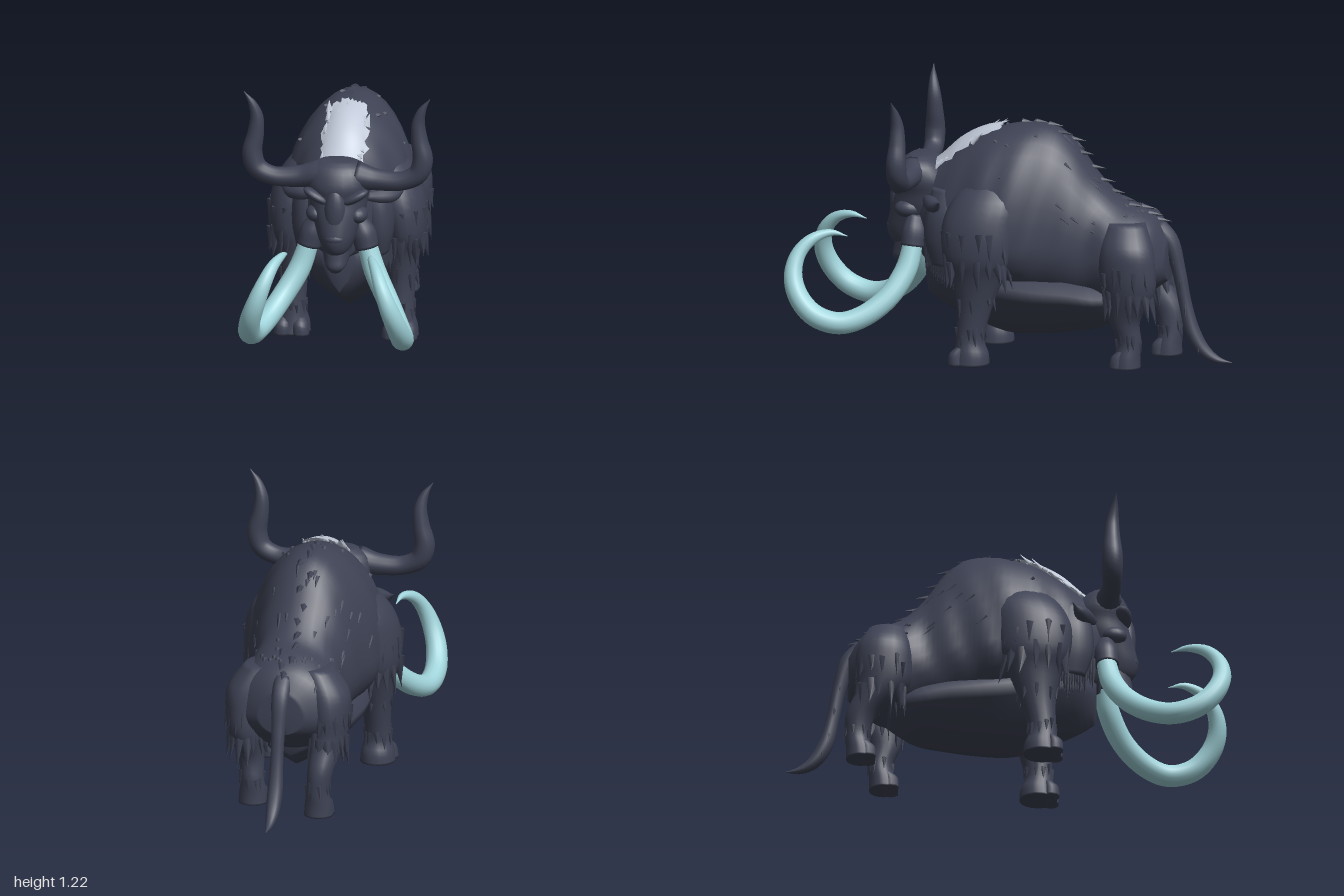
import * as THREE from 'three';
import { mergeGeometries } from 'three/addons/utils/BufferGeometryUtils.js';

const V = (x, y, z) => new THREE.Vector3(x, y, z);

// small seeded random
let seed = 7;
const rnd = () => (seed = (seed * 16807) % 2147483647) / 2147483647;
const jit = (a) => (rnd() - 0.5) * 2 * a;

// closed skin over rings of points, capped at both ends, always facing outwards
function skin(rings) {
  const n = rings[0].length, pts = rings.flat(), idx = [];
  for (let i = 0; i < rings.length - 1; i++) for (let j = 0; j < n; j++) {
    const a = i * n + j, b = i * n + (j + 1) % n;
    idx.push(a, b, a + n, b, b + n, a + n);
  }
  [0, rings.length - 1].forEach((r, k) => {
    const c = pts.length, mid = V(0, 0, 0);
    rings[r].forEach((p) => mid.addScaledVector(p, 1 / n));
    pts.push(mid);
    for (let j = 0; j < n; j++) {
      const a = r * n + j, b = r * n + (j + 1) % n;
      k ? idx.push(a, b, c) : idx.push(b, a, c);
    }
  });
  let vol = 0;
  for (let i = 0; i < idx.length; i += 3)
    vol += pts[idx[i]].dot(V(0, 0, 0).crossVectors(pts[idx[i + 1]], pts[idx[i + 2]]));
  if (vol < 0) idx.reverse();
  const g = new THREE.BufferGeometry().setFromPoints(pts);
  g.setIndex(idx);
  g.computeVertexNormals();
  return g;
}

// smooth lookup in a table of rows, t from 0 to 1
function sample(rows, t) {
  const f = t * (rows.length - 1), i = Math.min(Math.floor(f), rows.length - 2), u = f - i;
  const at = (k) => rows[Math.max(0, Math.min(rows.length - 1, k))];
  return rows[0].map((_, c) => {
    const [a, b, d, e] = [at(i - 1)[c], at(i)[c], at(i + 1)[c], at(i + 2)[c]];
    return b + 0.5 * u * (d - a + u * (2 * a - 5 * b + 4 * d - e + u * (3 * (b - d) + e - a)));
  });
}
const loft = (rows, steps, n, point) => skin(Array.from({ length: steps + 1 }, (_, i) => {
  const r = sample(rows, i / steps);
  return Array.from({ length: n }, (_, j) => point(r, (j / n) * Math.PI * 2));
}));

// upright limb from rows of [y, x, z, half width, half depth]
const limb = (rows, steps = 20, n = 16) => loft(rows, steps, n, ([y, x, z, w, d], a) =>
  V(x + w * Math.cos(a), y, z + d * Math.sin(a)));

// tapered horn or tail from rows of [x, y, z, radius]
function taper(rows, steps = 40, n = 14) {
  const curve = new THREE.CatmullRomCurve3(rows.map((r) => V(r[0], r[1], r[2])));
  const fr = curve.computeFrenetFrames(steps);
  return skin(Array.from({ length: steps + 1 }, (_, i) => {
    const t = curve.getUtoTmapping(i / steps), c = curve.getPoint(t), r = Math.max(0.002, sample(rows, t)[3]);
    return Array.from({ length: n }, (_, j) => {
      const a = (j / n) * Math.PI * 2;
      return c.clone().addScaledVector(fr.normals[i], r * Math.cos(a)).addScaledVector(fr.binormals[i], r * Math.sin(a));
    });
  }));
}

// one pointed clump of hair
function tuft(p, dir, len, r) {
  const g = new THREE.ConeGeometry(r, len, 5);
  g.scale(1, 1, 0.6);
  g.translate(0, len * 0.3, 0);
  g.applyQuaternion(new THREE.Quaternion().setFromUnitVectors(V(0, 1, 0), dir.clone().normalize()));
  return g.translate(p.x, p.y, p.z);
}
const blob = (x, y, z, rx, ry, rz, tilt = 0) =>
  new THREE.SphereGeometry(1, 18, 12).scale(rx, ry, rz).rotateZ(tilt).translate(x, y, z);

// trunk stations: z, half width, top, widest height, bottom
const TRUNK = [
  [0.42, 0.11, 0.84, 0.65, 0.43], [0.32, 0.195, 0.895, 0.62, 0.39], [0.22, 0.25, 0.97, 0.59, 0.36],
  [0.10, 0.30, 1.035, 0.56, 0.33], [-0.05, 0.30, 1.07, 0.55, 0.30], [-0.18, 0.26, 1.06, 0.55, 0.28],
  [-0.28, 0.235, 0.985, 0.53, 0.26], [-0.38, 0.215, 0.85, 0.50, 0.25], [-0.48, 0.235, 0.75, 0.47, 0.25],
  [-0.58, 0.245, 0.71, 0.46, 0.28], [-0.66, 0.20, 0.66, 0.46, 0.34], [-0.715, 0.10, 0.57, 0.46, 0.38]];
const trunkPoint = ([z, w, top, mid, bot], a) => {
  const c = Math.cos(a), fold = 1 + 0.018 * Math.sin(z * 42 + c * 5) * Math.abs(Math.sin(a));
  return V(w * Math.sin(a) * fold, mid + (c > 0 ? top - mid : mid - bot) * c, z);
};
const onTrunk = (t, a) => trunkPoint(sample(TRUNK, t), a);

export function createModel() {
  seed = 7;
  const model = new THREE.Group();
  const hide = new THREE.MeshStandardMaterial({ color: 0x3e4254 });
  const tuskBlue = new THREE.MeshStandardMaterial({ color: 0xa0d3da });
  const paleHair = new THREE.MeshStandardMaterial({ color: 0xc2cad9, side: THREE.DoubleSide });
  const add = (name, geo, mat = hide) => {
    const m = new THREE.Mesh(Array.isArray(geo) ? mergeGeometries(geo) : geo, mat);
    m.name = name;
    model.add(m);
  };

  add('trunk', loft(TRUNK, 55, 36, trunkPoint));

  // keeled belly: z, half width, rim height, keel height
  const BELLY = [[0.40, 0.06, 0.41, 0.27], [0.32, 0.16, 0.41, 0.215], [0.18, 0.23, 0.39, 0.15], [0.03, 0.25, 0.36, 0.10],
    [-0.12, 0.25, 0.34, 0.10], [-0.28, 0.23, 0.33, 0.12], [-0.42, 0.20, 0.31, 0.15], [-0.54, 0.12, 0.32, 0.23]];
  add('belly', skin(Array.from({ length: 25 }, (_, i) => {
    const [z, w, rim, keel] = sample(BELLY, i / 24);
    return [[0, keel], [0.55, keel + (rim - keel) * 0.36], [0.93, keel + (rim - keel) * 0.78], [1, rim], [0.8, rim + 0.06],
      [-0.8, rim + 0.06], [-1, rim], [-0.93, keel + (rim - keel) * 0.78], [-0.55, keel + (rim - keel) * 0.36]]
      .map(([x, y]) => V(x * w, y, z));
  })));

  // skull: y, half width, front z, back z
  const HEAD = [[0.905, 0.08, 0.48, 0.38], [0.87, 0.135, 0.525, 0.33], [0.80, 0.15, 0.555, 0.28], [0.74, 0.135, 0.55, 0.28],
    [0.68, 0.125, 0.565, 0.29], [0.62, 0.105, 0.58, 0.32], [0.56, 0.085, 0.59, 0.35], [0.51, 0.065, 0.575, 0.38], [0.485, 0.045, 0.55, 0.40]];
  add('head', loft(HEAD, 28, 24, ([y, w, f, b], a) => V(w * Math.cos(a), y, (f + b) / 2 + (f - b) / 2 * Math.sin(a))));
  add('lowerJaw', limb([[0.53, 0, 0.47, 0.07, 0.08], [0.47, 0, 0.485, 0.06, 0.075], [0.43, 0, 0.52, 0.045, 0.045], [0.405, 0, 0.53, 0.02, 0.02]]));
  add('noseBridge', [blob(0, 0.68, 0.535, 0.05, 0.12, 0.043), blob(0, 0.57, 0.555, 0.05, 0.03, 0.037)]);

  for (const s of [1, -1]) {
    const side = s > 0 ? 'left' : 'right';
    add(side + 'Brow', [blob(s * 0.085, 0.755, 0.515, 0.07, 0.024, 0.042, s * 0.5), blob(s * 0.095, 0.665, 0.475, 0.045, 0.04, 0.06)]);
    add(side + 'Ear', taper([[s * 0.12, 0.72, 0.38, 0.02], [s * 0.18, 0.715, 0.35, 0.034], [s * 0.235, 0.715, 0.32, 0.03],
      [s * 0.285, 0.74, 0.285, 0.002]], 14, 10));
    add(side + 'Horn', taper([[s * 0.08, 0.84, 0.45, 0.065], [s * 0.17, 0.825, 0.45, 0.05], [s * 0.29, 0.825, 0.46, 0.043],
      [s * 0.365, 0.862, 0.46, 0.046], [s * 0.387, 0.93, 0.46, 0.046], [s * 0.372, 1.02, 0.458, 0.038],
      [s * 0.367, 1.10, 0.46, 0.03], [s * 0.386, 1.165, 0.468, 0.018], [s * 0.422, 1.22, 0.475, 0.002]]));
    add(side + 'TuskSocket', taper([[s * 0.09, 0.63, 0.44, 0.04], [s * 0.115, 0.57, 0.44, 0.056], [s * 0.132, 0.50, 0.445, 0.053]], 12));
    add(side + 'Tusk', taper([[s * 0.13, 0.52, 0.44, 0.045], [s * 0.17, 0.40, 0.465, 0.05], [s * 0.24, 0.28, 0.535, 0.05],
      [s * 0.30, 0.20, 0.64, 0.05], [s * 0.335, 0.175, 0.74, 0.05], [s * 0.345, 0.21, 0.85, 0.05], [s * 0.33, 0.29, 0.925, 0.047],
      [s * 0.30, 0.38, 0.955, 0.042], [s * 0.265, 0.47, 0.938, 0.034], [s * 0.232, 0.535, 0.88, 0.026],
      [s * 0.20, 0.56, 0.80, 0.015], [s * 0.19, 0.545, 0.73, 0.002]], 64, 16), tuskBlue);

    // shoulders run down into the front legs, hips into the hind legs
    const hz = s > 0 ? -0.555 : -0.67;
    const front = [[0.88, s * 0.14, 0.06, 0.04, 0.07], [0.76, s * 0.20, 0.08, 0.10, 0.15], [0.64, s * 0.242, 0.11, 0.108, 0.17],
      [0.50, s * 0.262, 0.115, 0.095, 0.16], [0.40, s * 0.25, 0.115, 0.08, 0.12], [0.26, s * 0.245, 0.13, 0.064, 0.08],
      [0.12, s * 0.245, 0.15, 0.06, 0.064], [0.05, s * 0.245, 0.145, 0.075, 0.078], [0, s * 0.245, 0.148, 0.08, 0.085]];
    const hind = [[0.66, s * 0.13, -0.54, 0.07, 0.09], [0.56, s * 0.18, -0.555, 0.095, 0.12], [0.46, s * 0.195, -0.56, 0.09, 0.13],
      [0.34, s * 0.19, -0.57, 0.08, 0.115], [0.22, s * 0.175, hz + 0.01, 0.06, 0.072], [0.12, s * 0.165, hz - 0.01, 0.052, 0.055],
      [0.05, s * 0.165, hz, 0.062, 0.06], [0, s * 0.165, hz + 0.005, 0.066, 0.066]];
    add(side + 'FrontLeg', limb(front, 30, 20));
    add(side + 'HindLeg', limb(hind, 30, 20));

    // cloven toes
    const toes = [];
    for (const [x, z, k0] of [[0.245, 0.205, 1], [0.165, hz + 0.035, 0.8]]) for (const k of [-k0, k0])
      toes.push(limb([[0.08, s * x + k * 0.038, z - 0.02, 0.02, 0.02], [0.05, s * x + k * 0.04, z, 0.035 * k0, 0.033],
        [0, s * x + k * 0.042, z + 0.002, 0.04 * k0, 0.036]], 8, 10));
    add(side + 'Toes', toes);

    // fringes of hair around shoulder, hip and ankles: limb rows, height, length, size, count
    const fringe = [];
    for (const [rows, y, len, r, count] of [[front, 0.58, 0.10, 0.03, 14], [front, 0.47, 0.13, 0.034, 16], [front, 0.30, 0.07, 0.018, 8],
      [front, 0.14, 0.07, 0.018, 11], [hind, 0.44, 0.09, 0.026, 14], [hind, 0.33, 0.13, 0.03, 14], [hind, 0.13, 0.06, 0.017, 9]]) {
      const k = rows.findIndex((q) => q[0] <= y), u = (y - rows[k][0]) / (rows[k - 1][0] - rows[k][0]);
      const [, x, z, w, d] = rows[k].map((v, c) => v + (rows[k - 1][c] - v) * u);
      for (let j = 0; j < count; j++) {
        const a = (j + jit(0.3)) / count * Math.PI * 2, c = Math.cos(a), q = Math.sin(a);
        fringe.push(tuft(V(x + w * c * 0.92, y + jit(0.02), z + d * q * 0.92), V(c * 0.18, -1, q * 0.15 - 0.08), len * (1 + jit(0.25)), r));
      }
    }
    add(side + 'LegHair', fringe);

    // shaggy neck drape and beard filling the gap between cheek and shoulder
    add(side + 'NeckDrape', limb([[0.78, s * 0.13, 0.27, 0.06, 0.08], [0.66, s * 0.155, 0.27, 0.075, 0.11],
      [0.54, s * 0.165, 0.27, 0.065, 0.11], [0.43, s * 0.165, 0.265, 0.04, 0.08]], 16, 16));
    const beard = [];
    for (let i = 0; i < 18; i++) {
      const t = i / 17;
      beard.push(tuft(V(s * (0.12 + 0.11 * t), 0.51 - 0.06 * Math.sin(t * 3) + jit(0.025), 0.38 - 0.2 * t), V(s * 0.08, -1, 0), 0.14 + jit(0.03), 0.034));
    }
    add(side + 'Beard', beard);

    // small coat tufts lying flat along the flank
    const coat = [];
    for (let i = 0; i < 30; i++) {
      const p = onTrunk(0.25 + 0.65 * rnd(), s * (0.1 + 1.3 * rnd()));
      coat.push(tuft(V(p.x * 0.98, p.y - 0.004, p.z), V(p.x * 0.15, -0.6, -0.7), 0.055 + jit(0.015), 0.013));
    }
    add(side + 'CoatTufts', coat);
  }

  // ridge of hair along the spine
  const ridge = [];
  for (let i = 0; i < 14; i++) ridge.push(tuft(onTrunk(0.36 + 0.043 * i, jit(0.15)), V(jit(0.2), -0.15, -1), 0.07, 0.02));
  add('spineHair', ridge);

  // tail with a hairy root and brush
  const TAIL = [[0, 0.62, -0.65, 0.045], [0, 0.56, -0.71, 0.042], [0, 0.42, -0.755, 0.032], [0, 0.27, -0.785, 0.03],
    [0, 0.14, -0.82, 0.035], [0, 0.06, -0.87, 0.03], [0, 0.02, -0.93, 0.018], [0, 0.008, -1.0, 0.002]];
  add('tail', taper(TAIL, 36, 12));
  const brush = [];
  for (let i = 0; i < 10; i++) {
    const [x, y, z] = sample(TAIL, 0.15 + 0.5 * i / 9), k = i % 2 ? 1 : -1;
    brush.push(tuft(V(x + k * 0.02, y, z), V(k * 0.35, -1, -0.15), 0.07, 0.014));
  }
  add('tailHair', brush);

  // pale patch of hair over the neck, narrowing backwards to ragged ends
  const patch = new THREE.PlaneGeometry(1, 1, 14, 16), pos = patch.attributes.position;
  for (let i = 0; i < pos.count; i++) {
    const u = pos.getX(i) * 2, v = pos.getY(i) + 0.5;
    const ragged = (Math.abs(u) > 0.95 || v < 0.01 || v > 0.99) ? jit(0.014) : 0;
    const t = 0.055 + 0.255 * (1 - v) + ragged, w = sample(TRUNK, t)[1], half = 0.105 - 0.045 * (1 - v) ** 3;
    const p = onTrunk(t, Math.asin(Math.min(0.9, (half + ragged) / w)) * u);
    const lift = 0.012 + 0.016 * Math.sin(v * Math.PI) * (1 - u * u);
    pos.setXYZ(i, p.x, p.y + lift, p.z + lift * 0.5);
  }
  patch.computeVertexNormals();
  add('neckPatch', patch, paleHair);
  const locks = [];
  for (let i = 0; i < 22; i++) {
    const t = 0.08 + 0.21 * rnd(), edge = i % 2 ? 1 : -1, w = sample(TRUNK, t)[1];
    const p = onTrunk(t, edge * (i < 14 ? 0.085 + jit(0.012) : 0.06 * rnd()) / w);
    locks.push(tuft(p.add(V(0, 0.012, 0)), V(edge * 0.1, 0.7 + jit(0.2), -0.8), 0.06 + jit(0.02), 0.017));
  }
  add('neckLocks', locks, paleHair);

  return model;
}
